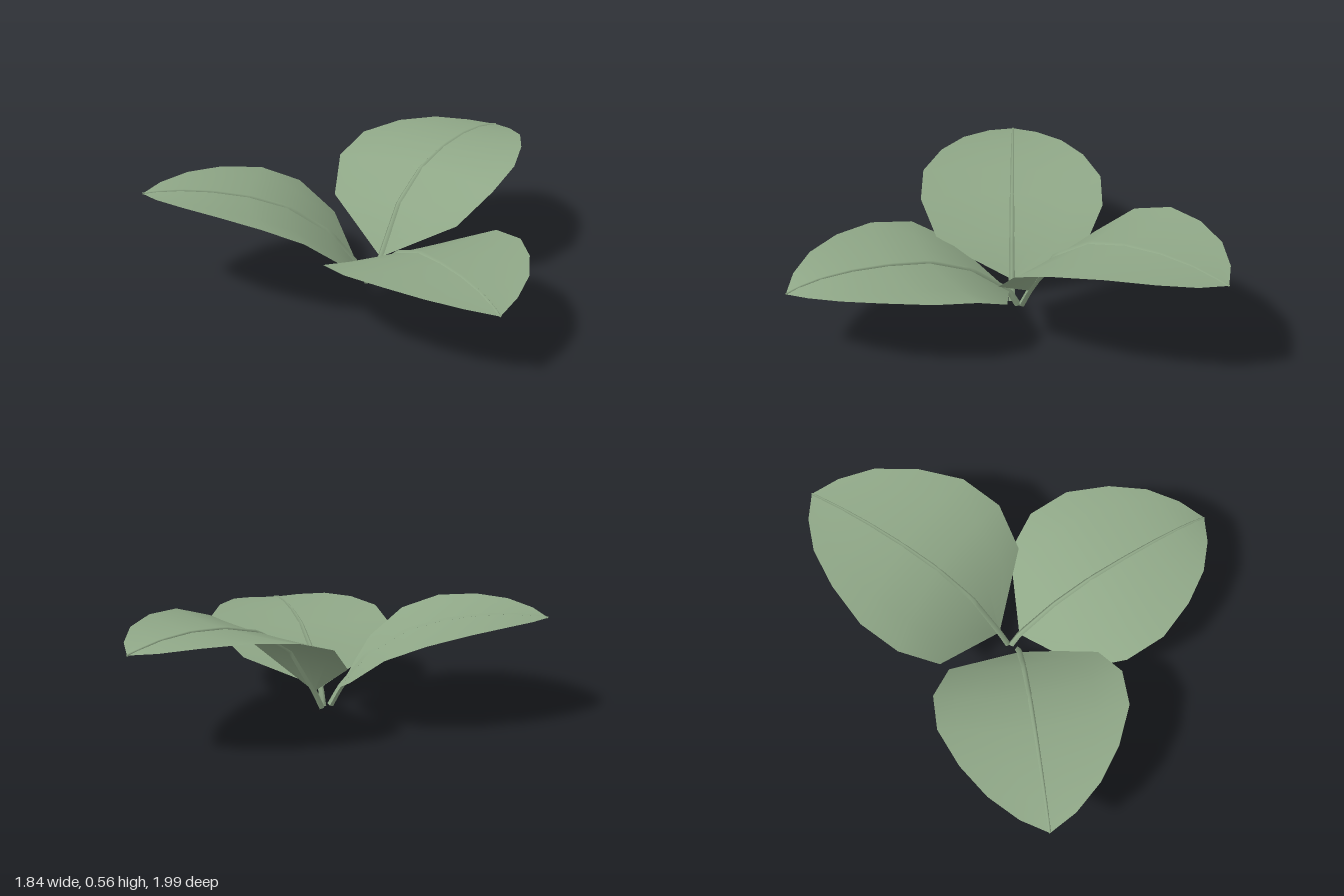
import * as THREE from 'three';

const green = new THREE.MeshStandardMaterial({ color: 0x8fa787, side: THREE.DoubleSide });

// half widths of the blade, and how far the midrib runs ahead of the edge, per row
const HALF_WIDTH = [0, 0.365, 0.457, 0.455, 0.372, 0.262, 0.13, 0];
const LEAD = [0, 0.042, 0.07, 0.06, 0.035, 0.02, 0.01, 0];

// each leaf: foot, heading, sideways roll and its rise as [distance out, height]
const LEAVES = [
  { name: 'backLeaf', foot: [0.155, 0.03], dir: [0.515, -1.03], roll: 0,
    rise: [[0.05, 0.1], [0.165, 0.315], [0.338, 0.46], [0.547, 0.53], [0.765, 0.553], [0.95, 0.545], [1.077, 0.52], [1.15, 0.5]] },
  { name: 'frontLeaf', foot: [0.155, 0.05], dir: [0.665, 0.92], roll: 0,
    rise: [[0.045, 0.09], [0.204, 0.235], [0.38, 0.33], [0.589, 0.365], [0.788, 0.375], [0.95, 0.365], [1.065, 0.34], [1.135, 0.31]] },
  { name: 'sideLeaf', foot: [0.13, 0.085], dir: [-1.05, 0.235], roll: -0.04,
    rise: [[0.05, 0.1], [0.146, 0.25], [0.32, 0.395], [0.513, 0.47], [0.712, 0.505], [0.875, 0.515], [1.0, 0.508], [1.075, 0.495]] },
];

// height of the leaf at a distance from its foot
function heightAt(rise, s) {
  let i = 1;
  while (i < rise.length - 1 && rise[i][0] < s) i++;
  const [a, b] = [rise[i - 1], rise[i]];
  return a[1] + (b[1] - a[1]) * (s - a[0]) / (b[0] - a[0]);
}

// point on the blade: row along it, t from -1 to 1 across it
function bladePoint(leaf, row, t) {
  const s = leaf.rise[row][0] + LEAD[row] * (1 - t * t);
  const w = HALF_WIDTH[row] * t;
  const cup = 0.012 * (t * t - 1) * (HALF_WIDTH[row] / 0.457);
  return new THREE.Vector3(s, heightAt(leaf.rise, s) + cup + leaf.roll * w, w);
}

function makeBlade(leaf) {
  const across = 6, rows = leaf.rise.length;
  const pos = [], index = [];
  for (let r = 0; r < rows; r++) {
    for (let c = 0; c <= across; c++) pos.push(...bladePoint(leaf, r, c / across * 2 - 1).toArray());
  }
  for (let r = 0; r < rows - 1; r++) {
    for (let c = 0; c < across; c++) {
      const a = r * (across + 1) + c, b = a + across + 1;
      if (r > 0) index.push(a, a + 1, b + 1);
      if (r < rows - 2) index.push(a, b + 1, b);
      else continue;
    }
  }
  const geo = new THREE.BufferGeometry();
  geo.setAttribute('position', new THREE.Float32BufferAttribute(pos, 3));
  geo.setIndex(index);
  geo.computeVertexNormals();
  return new THREE.Mesh(geo, green);
}

// stem running on as a tapering midrib
function makeStem(leaf) {
  const path = new THREE.CurvePath();
  const points = [new THREE.Vector3(0, 0.005, 0), ...leaf.rise.map((_, r) => bladePoint(leaf, r, 0))];
  for (let i = 1; i < points.length; i++) path.add(new THREE.LineCurve3(points[i - 1], points[i]));
  const steps = 32, sides = 4;
  const geo = new THREE.TubeGeometry(path, steps, 0.016, sides);
  const p = geo.attributes.position, v = new THREE.Vector3();
  for (let i = 0; i < p.count; i++) {
    const u = Math.floor(i / (sides + 1)) / steps;
    const centre = path.getPointAt(u);
    v.fromBufferAttribute(p, i).sub(centre).multiplyScalar(1 - 0.65 * u).add(centre);
    p.setXYZ(i, v.x, v.y, v.z);
  }
  geo.computeVertexNormals();
  return new THREE.Mesh(geo, green);
}

export function createModel() {
  const plant = new THREE.Group();
  plant.name = 'threeLeafPlant';
  for (const leaf of LEAVES) {
    const group = new THREE.Group();
    group.name = leaf.name;
    const blade = makeBlade(leaf);
    blade.name = 'blade';
    const stem = makeStem(leaf);
    stem.name = 'stem';
    group.add(blade, stem);
    group.position.set(leaf.foot[0], 0, leaf.foot[1]);
    group.rotation.y = -Math.atan2(leaf.dir[1], leaf.dir[0]);
    plant.add(group);
  }
  return plant;
}
